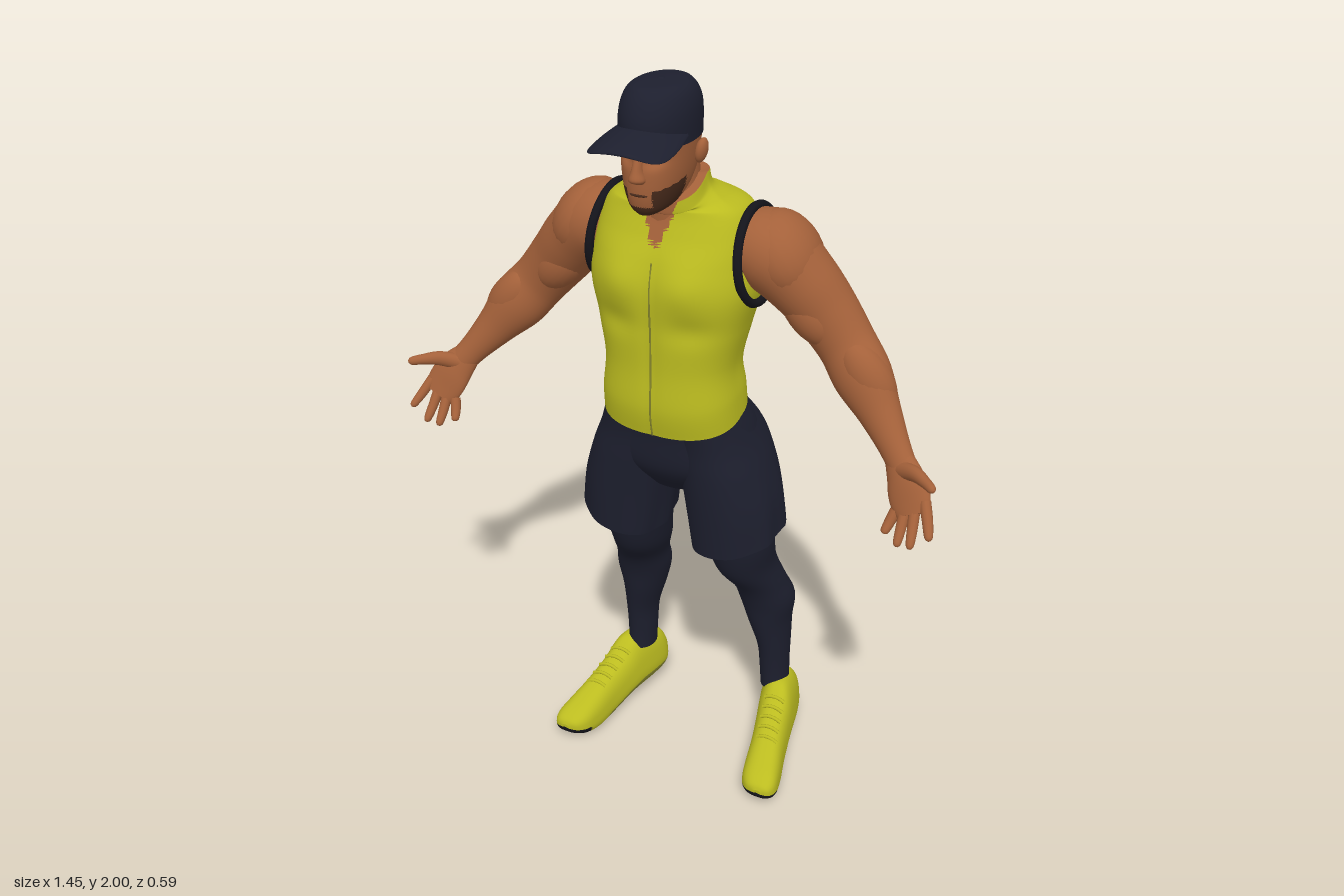
import * as THREE from 'three';

const mk = (name, color) => Object.assign(new THREE.MeshStandardMaterial({ color }), { name });
const M = {
  skin: mk('skin', 0xa4613a), vest: mk('vest yellow', 0xbcbc20), navy: mk('navy cloth', 0x1d1f2e),
  trim: mk('black trim', 0x14141b), olive: mk('dark olive', 0x85852c), beard: mk('beard brown', 0x472a1b),
};
const clamp = THREE.MathUtils.clamp;
const bump = (d, w) => Math.exp(-(d * d) / (w * w));
const V = (x, y, z) => new THREE.Vector3(x, y, z);
const cubic = (a, b, c, d, t) =>
  0.5 * (2 * b + (c - a) * t + (2 * a - 5 * b + 4 * c - d) * t * t + (3 * b - a - 3 * c + d) * t * t * t);

// Smooth skin over rings [x, y, z, radiusA, radiusB]. frame 'y': level rings listed bottom up,
// 'z': upright rings listed back to front, 'path': rings square to the line of centres.
function loft(name, rings, { mat, frame = 'y', seg = 28, sub = 6, p = 2, shape, paint }) {
  const last = rings.length - 1, rows = last * sub, pos = [];
  const at = (f) => {
    f = clamp(f, 0, last);
    const k = Math.min(Math.floor(f), last - 1), g = (i) => rings[clamp(i, 0, last)];
    return rings[k].map((_, c) => cubic(g(k - 1)[c], g(k)[c], g(k + 1)[c], g(k + 2)[c], f - k));
  };
  const N = V(1, 0, 0), B = V(0, 0, 1);
  if (frame === 'z') { N.set(-1, 0, 0); B.set(0, 1, 0); }
  const power = (v) => Math.sign(v) * Math.abs(v) ** (2 / p);
  const angle = (j) => (j / seg) * Math.PI * 2;
  for (let i = 0; i <= rows; i++) {
    const [x, y, z, a, b] = at(i / sub);
    if (frame === 'path') {
      const T = V(...at(i / sub + 0.1)).sub(V(...at(i / sub - 0.1))).normalize();
      B.set(0, 0, 1).addScaledVector(T, -T.z).normalize();
      N.crossVectors(T, B);
    }
    for (let j = 0; j < seg; j++) {
      const q = V(x, y, z).addScaledVector(N, a * power(Math.cos(angle(j))))
        .addScaledVector(B, b * power(Math.sin(angle(j))));
      if (shape) shape(q, [x, y, z, a, b]);
      pos.push(q.x, q.y, q.z);
    }
  }
  const mats = [].concat(mat), lists = mats.map(() => []);
  const point = (i) => V(pos[3 * i], pos[3 * i + 1], pos[3 * i + 2]);
  const tri = (a, b, c, j) => {
    const mid = point(a).add(point(b)).add(point(c)).divideScalar(3);
    lists[paint ? paint(mid, Math.sin(angle(j + 0.5))) : 0].push(a, b, c);
  };
  for (let i = 0; i < rows; i++) for (let j = 0; j < seg; j++) {
    const a = i * seg + j, b = i * seg + ((j + 1) % seg);
    tri(a, a + seg, b, j);
    tri(b, a + seg, b + seg, j);
  }
  for (const row of [0, rows]) { // end caps with their own vertices
    const start = pos.length / 3, mid = V(0, 0, 0);
    for (let j = 0; j < seg; j++) {
      const q = point(row * seg + j);
      pos.push(q.x, q.y, q.z);
      mid.addScaledVector(q, 1 / seg);
    }
    pos.push(mid.x, mid.y, mid.z);
    for (let j = 0; j < seg; j++) {
      const a = start + j, b = start + ((j + 1) % seg);
      row ? tri(start + seg, b, a, j) : tri(start + seg, a, b, j);
    }
  }
  const geo = new THREE.BufferGeometry();
  geo.setAttribute('position', new THREE.Float32BufferAttribute(pos, 3));
  geo.setIndex(lists.flat());
  let from = 0;
  lists.forEach((l, i) => { geo.addGroup(from, l.length, i); from += l.length; });
  geo.computeVertexNormals();
  return Object.assign(new THREE.Mesh(geo, mats.length > 1 ? mats : mats[0]), { name });
}

function ball(name, mat, pos, size, turn = 0) {
  const m = new THREE.Mesh(new THREE.SphereGeometry(1, 24, 16), mat);
  m.name = name; m.position.set(...pos); m.scale.set(...size); m.rotation.z = turn;
  return m;
}
function tube(name, mat, pts, r, closed = false) {
  const curve = new THREE.CatmullRomCurve3(pts.map((q) => V(...q)), closed);
  return Object.assign(new THREE.Mesh(new THREE.TubeGeometry(curve, 48, r, 8, closed), mat), { name });
}

function buildTorso(g) {
  const rings = [[0, 1.16, .012, .181, .132], [0, 1.22, .018, .177, .138], [0, 1.3, .02, .169, .132],
    [0, 1.4, .01, .188, .145], [0, 1.5, 0, .21, .156], [0, 1.58, -.008, .204, .148], [0, 1.64, -.015, .194, .132],
    [0, 1.69, -.015, .172, .115], [0, 1.72, .005, .125, .095], [0, 1.745, .035, .098, .08], [0, 1.78, .042, .09, .076]];
  const bend = (q) => { // chest, belly line, spine groove, tilted hem and collar
    const y = q.y, up = clamp((y - 1.7) / .05, 0, 1);
    if (q.z > 0) {
      q.z += .014 * bump(Math.abs(q.x) - .085, .06) * bump(y - 1.53, .06) - .006 * bump(q.x, .02) * bump(y - 1.4, .2)
        - .008 * bump(Math.abs(q.x) - .1, .06) * bump(y - 1.42, .035);
    } else q.z += .016 * bump(q.x, .04) * bump(y - 1.42, .2);
    q.y -= .25 * q.z * clamp((1.3 - y) / .14, 0, 1) + .65 * up * Math.max(0, q.z - .03);
  };
  g.add(loft('vest', rings, { mat: [M.vest, M.skin], seg: 120, sub: 10, p: 2.5, shape: bend,
    paint: (q) => (q.z > .05 && q.y > 1.6 && Math.abs(q.x) < .42 * (q.y - 1.6)
      || q.y > 1.68 && Math.hypot(q.x, q.z - .042) < .068 ? 1 : 0) }));
  const zip = rings.slice(0, 6).map(([, y, z, , r]) => { const q = V(0, y, z + r); bend(q); return q.toArray(); });
  g.add(tube('zipper', M.olive, zip, .0025));
  g.add(loft('hips', [[0, .92, -.036, .09, .085], [0, 1, -.036, .213, .14], [0, 1.1, -.026, .2, .145],
    [0, 1.18, .008, .174, .126]], { mat: M.navy, p: 2.2, seg: 48,
    shape: (q) => { if (q.z < -.05) q.z += .03 * bump(q.x, .03) * bump(q.y - 1.0, .08); } }));
}

function buildHead(g) {
  g.add(loft('neck', [[0, 1.62, .02, .085, .08], [0, 1.7, .032, .074, .075], [0, 1.78, .04, .068, .074],
    [0, 1.84, .05, .066, .074]], { mat: M.skin }));
  g.add(loft('head', [[0, 1.712, .14, .024, .04], [0, 1.728, .12, .047, .072], [0, 1.76, .1, .064, .1],
    [0, 1.8, .09, .074, .112], [0, 1.85, .085, .08, .115], [0, 1.9, .085, .082, .117], [0, 1.94, .08, .078, .105]], {
    mat: [M.skin, M.beard], seg: 72, sub: 9, p: 2.2,
    shape: (q) => { if (q.z > .1) q.z -= .014 * bump(Math.abs(q.x) - .034, .02) * bump(q.y - 1.845, .014); },
    paint: (q) => (q.z > .1 && q.y < 1.778 + .2 * (.18 - q.z) && (Math.abs(q.x) > .03 || q.y < 1.735) ? 1 : 0),
  }));
  g.add(loft('nose', [[0, 1.793, .196, .014, .012], [0, 1.803, .202, .02, .022], [0, 1.825, .2, .013, .018],
    [0, 1.862, .194, .009, .009]], { mat: M.skin, seg: 16 }));
  g.add(ball('mouth', M.beard, [0, 1.765, .197], [.022, .004, .006]));
  for (const s of [1, -1]) {
    g.add(ball('ear', M.skin, [s * .086, 1.838, .055], [.014, .03, .02], -s * .2));
    g.add(ball('eye', M.trim, [s * .034, 1.845, .174], [.013, .005, .006]));
    g.add(ball('brow', M.beard, [s * .036, 1.861, .182], [.02, .005, .008], s * .15));
  }
  // Cap
  g.add(loft('capCrown', [[0, 1.872, .085, .086, .121], [0, 1.92, .085, .087, .121], [0, 1.955, .083, .083, .113],
    [0, 1.982, .083, .071, .096], [0, 1.995, .083, .05, .074], [0, 1.998, .083, .008, .012]],
  { mat: M.navy, seg: 48, p: 2.05 }));
  g.add(loft('capBrim', [[0, 1.912, .12, .086, .014], [0, 1.907, .19, .096, .012], [0, 1.899, .25, .094, .008],
    [0, 1.893, .28, .076, .006], [0, 1.89, .293, .045, .004], [0, 1.889, .297, .01, .002]], {
    mat: M.navy, frame: 'z', seg: 48, shape: (q) => { q.y -= 3 * q.x * q.x; } }));
  g.add(ball('capButton', M.navy, [0, 1.996, .083], [.01, .004, .01]));
}

function buildArm(g, s) {
  const side = (rings) => rings.map(([x, ...r]) => [s * x, ...r]);
  const skin = (name, rings, seg = 32) => g.add(loft(name, side(rings), { mat: M.skin, frame: 'path', seg }));
  skin('arm', [[.15, 1.605, -.03, .075, .085], [.225, 1.59, -.035, .096, .104], [.3, 1.525, -.045, .088, .09],
    [.36, 1.455, -.055, .08, .078], [.42, 1.382, -.05, .073, .066], [.475, 1.318, -.025, .074, .062],
    [.53, 1.25, 0, .054, .048], [.58, 1.19, .03, .04, .035], [.612, 1.152, .052, .036, .028]]);
  // Muscle masses
  g.add(ball('deltoid', M.skin, [s * .262, 1.585, -.04], [.082, .112, .104], s * .6));
  g.add(ball('biceps', M.skin, [s * .335, 1.462, -.025], [.06, .1, .056], s * .72));
  g.add(ball('triceps', M.skin, [s * .35, 1.465, -.08], [.07, .1, .053], s * .72));
  g.add(ball('forearmMuscle', M.skin, [s * .49, 1.328, -.015], [.056, .1, .05], s * .65));
  g.add(tube('armholeTrim', M.trim, Array.from({ length: 16 }, (_, i) => {
    const a = i * Math.PI / 8;
    return [s * (.194 - .012 * Math.sin(a)), 1.575 + .115 * Math.sin(a), -.03 + .115 * Math.cos(a)];
  }), .0115, true));
  // Hand
  skin('palm', [[.6, 1.165, .045, .036, .026], [.63, 1.125, .07, .05, .025], [.65, 1.085, .09, .052, .019],
    [.662, 1.06, .105, .04, .013]]);
  [[.72, 1.03, .15], [.676, .995, .152], [.642, .988, .145], [.602, 1.002, .125]].forEach(([x, y, z], i) => {
    const k = 1 - i * 2 / 3, bx = .652 + .034 * k, by = 1.075 + .022 * k;
    const mid = (t, up) => [bx + (x - bx) * t, by + (y - by) * t, .093 + (z - .093) * t + up];
    skin('finger', [[...mid(0, 0), .014, .014], [...mid(.5, -.003), .013, .013], [...mid(.9, 0), .01, .01],
      [...mid(1, 0), .003, .003]], 12);
  });
  skin('thumb', [[.61, 1.145, .06, .024, .02], [.655, 1.163, .092, .02, .017], [.69, 1.166, .122, .014, .013],
    [.712, 1.165, .142, .011, .01], [.719, 1.164, .148, .003, .003]], 16);
}

function buildLeg(g, s) {
  const side = (rings) => rings.map(([x, ...r]) => [s * x, ...r]);
  g.add(loft('shortsLeg', side([[.16, .79, -.04, .118, .132], [.146, .9, -.036, .12, .137], [.125, 1, -.036, .115, .144],
    [.105, 1.08, -.03, .103, .142], [.085, 1.16, .005, .092, .122]]), {
    mat: M.navy, seg: 40, p: 2.2,
    shape: (q) => { // slanted hem and soft folds
      const low = clamp((1 - q.y) / .2, 0, 1), x = s * q.x - .16;
      q.x += s * .004 * low * Math.sin(q.z * 70);
      q.y += low * (.2 * x - .17 * (q.z + .04));
    } }));
  g.add(loft('leggings', side([[.216, .18, -.2, .04, .05], [.213, .25, -.198, .041, .053], [.21, .33, -.195, .045, .062],
    [.198, .42, -.188, .06, .077], [.192, .5, -.175, .076, .083], [.18, .57, -.143, .073, .082], [.158, .65, -.1, .078, .1],
    [.152, .73, -.072, .088, .104], [.145, .81, -.055, .095, .105], [.14, .88, -.04, .1, .11]]), { mat: M.navy, seg: 36 }));

  // Shoe: [z, bottom, top, half width]
  const profile = [[-.29, .075, .12, .02], [-.278, .052, .165, .047], [-.25, .04, .2, .062], [-.2, .034, .212, .066],
    [-.15, .03, .21, .064], [-.1, .024, .172, .06], [-.03, .008, .14, .058], [.04, .001, .112, .06],
    [.09, .012, .092, .055], [.118, .028, .075, .037], [.127, .042, .06, .012]];
  const mid = (z) => s * (.212 + (z + .29) * .222);
  g.add(loft('shoe', profile.map(([z, b, t, w]) => [mid(z), (b + t) / 2, z, w, (t - b) / 2]), {
    mat: [M.vest, M.trim, M.olive], frame: 'z', seg: 72, sub: 6, p: 2.7,
    shape: (q, [x, y, , , h]) => { q.x = x + (q.x - x) * (1 - .16 * (1 + (q.y - y) / h) * clamp(h / .09, 0, 1)); },
    paint: (q, u) => (u < -.76 || (q.z > .08 && u < -.15) ? 1
      : u < -.45 && u > -.68 && q.z < .0 && q.z > -.27 ? 2 : 0),
  }));
  for (let i = 0; i < 5; i++) { // laces
    const z = -.118 + i * .027, y = .185 - i * .0135;
    g.add(tube('lace', M.vest, [-1, -.5, 0, .5, 1].map((k) => [mid(z) + k * .03, y + .002 - .01 * k * k, z]), .005));
  }
}

export function createModel() {
  const model = new THREE.Group();
  model.name = 'athlete';
  const part = (name) => {
    const g = new THREE.Group();
    g.name = name;
    model.add(g);
    return g;
  };
  buildTorso(part('torso'));
  buildHead(part('headAndCap'));
  for (const s of [1, -1]) {
    buildArm(part(s > 0 ? 'leftArm' : 'rightArm'), s);
    buildLeg(part(s > 0 ? 'leftLeg' : 'rightLeg'), s);
  }
  return model;
}
